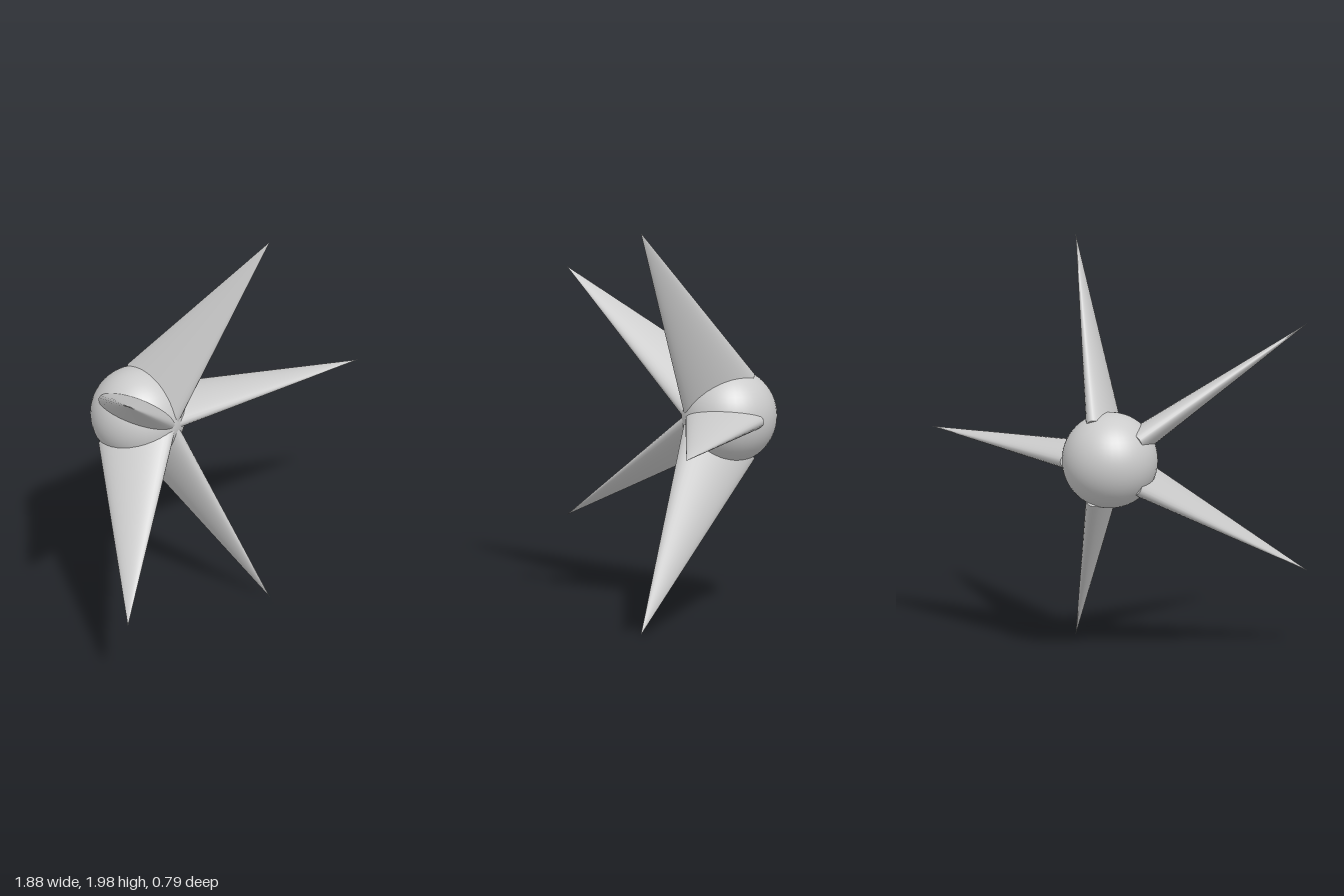
import * as THREE from 'three';

export function createModel() {
  const model = new THREE.Group();
  model.name = 'spikedStar';
  const material = new THREE.MeshStandardMaterial({ color: 0xcccccc });

  // Everything is arranged around the star's own axis (z)
  const star = new THREE.Group();
  star.name = 'star';
  star.position.set(-0.105, 1, 0);
  model.add(star);

  // Round core
  const sphere = new THREE.SphereGeometry(0.233, 40, 28);
  const core = new THREE.Mesh(sphere, material);
  core.name = 'core';
  core.position.z = -0.163;
  star.add(core);

  // Spike: a cone with a thin elliptical base, leaning outward and forward
  const base = new THREE.Vector3(0.11, 0, -0.105);
  const tip = new THREE.Vector3(1.042, 0, 0.39);
  const spikeGeometry = new THREE.ConeGeometry(1, 1, 32, 6).translate(0, 0.5, 0);
  const lean = new THREE.Matrix4().makeBasis(
    new THREE.Vector3(0.11, 0, -0.165), // long half-axis of the base
    tip.clone().sub(base),              // from base to tip
    new THREE.Vector3(0, -0.067, 0)     // short half-axis of the base
  ).setPosition(base);
  spikeGeometry.applyMatrix4(lean);

  // Five spikes, evenly spaced
  for (let i = 0; i < 5; i++) {
    const spike = new THREE.Mesh(spikeGeometry, material);
    spike.name = `spike${i + 1}`;
    spike.rotation.z = (i * Math.PI * 2) / 5;
    star.add(spike);
  }

  return model;
}
